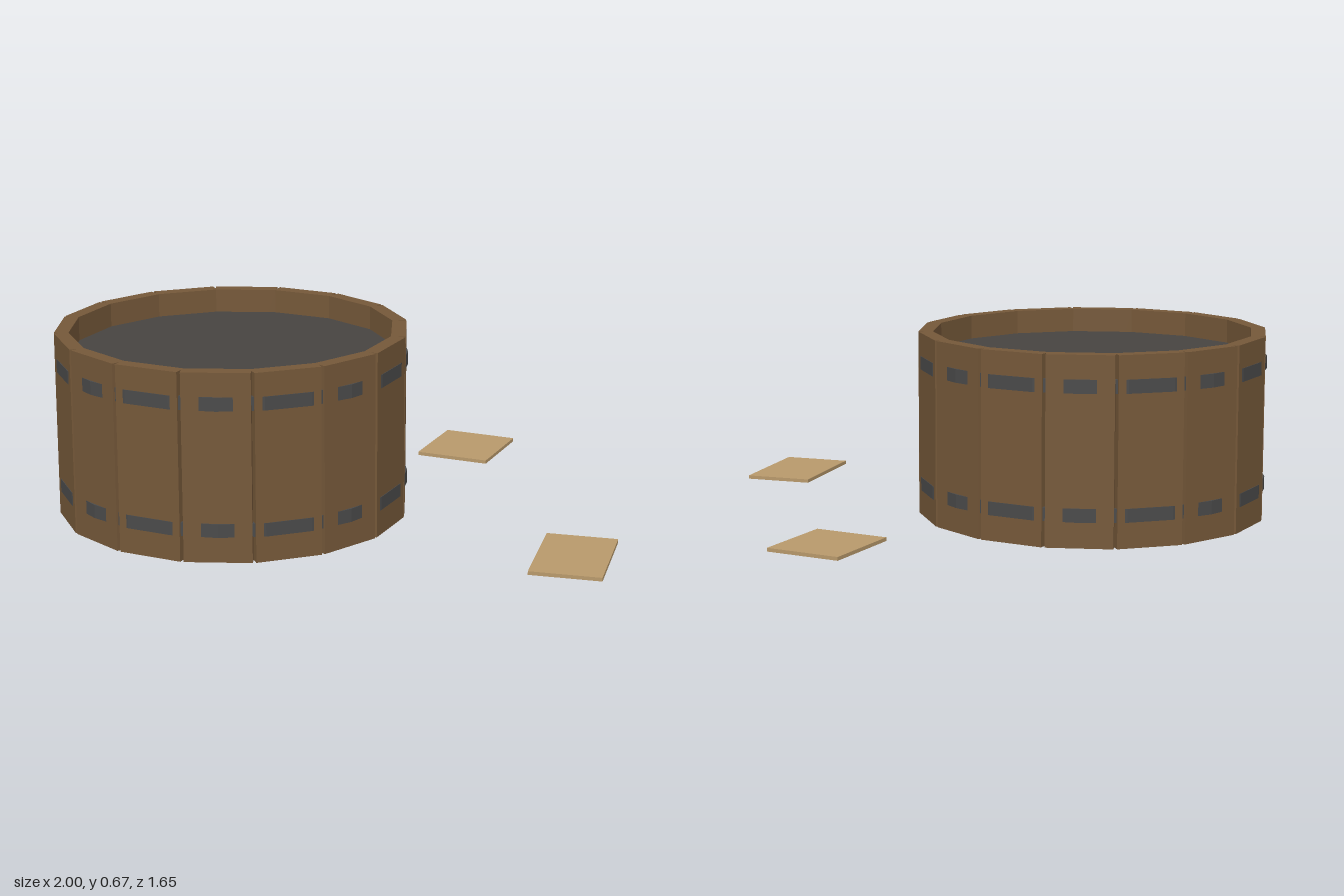
import * as THREE from 'three';

const mat = (color) => new THREE.MeshStandardMaterial({ color, flatShading: true });
const wood = mat(0x755839);
const darkWood = mat(0x4a3524);
const metal = mat(0x4a4a4a);
const dark = mat(0x474441);
const paleWood = mat(0xb8996b);

function add(parent, name, geometry, material, x = 0, y = 0, z = 0, ry = 0) {
  const mesh = new THREE.Mesh(geometry, material);
  mesh.name = name;
  mesh.position.set(x, y, z);
  mesh.rotation.y = ry;
  parent.add(mesh);
  return mesh;
}

// Round tub made of flat staves, held by two hoops
function createTub() {
  const tub = new THREE.Group();
  tub.name = 'tub';
  const staves = 16, radius = 0.622, depth = 0.052, height = 0.667;

  const staveGeometry = new THREE.BoxGeometry(0.235, height, depth);
  for (let i = 0; i < staves; i++) {
    const a = (i / staves) * Math.PI * 2;
    const r = radius - depth / 2;
    add(tub, 'stave', staveGeometry, wood, Math.sin(a) * r, height / 2, Math.cos(a) * r, a);
  }

  // Hoops have 24 sides, so they sink into the stave corners
  const h = 0.024, outer = 0.6295, inner = 0.605;
  const section = [[inner, -h], [outer, -h], [outer, h], [inner, h], [inner, -h]]
    .map(([x, y]) => new THREE.Vector2(x, y));
  const hoopGeometry = new THREE.LatheGeometry(section, 24);
  for (const y of [0.115, 0.559]) add(tub, 'hoop', hoopGeometry, metal, 0, y, 0);

  // Floor and the surface of the contents
  const disc = new THREE.CylinderGeometry(0.585, 0.585, 0.02, 32);
  add(tub, 'floor', disc, darkWood, 0, 0.032, 0);
  add(tub, 'contents', disc, dark, 0, 0.57, 0);
  return tub;
}

export function createModel() {
  const model = new THREE.Group();
  model.name = 'tubWithPlanks';

  const tub = createTub();
  tub.position.set(-0.369, 0, 0.07);
  model.add(tub);

  // Loose planks on the ground, two of them under the tub: x, z, width, length, turn
  const planks = [
    [0.486, -0.63, 0.28, 0.32, -0.37],
    [0.836, 0.608, 0.25, 0.39, -0.21],
    [-0.131, -0.2, 0.19, 0.37, 0.55],
    [-0.297, 0.073, 0.18, 0.215, -0.87],
  ];
  for (const [x, z, w, l, turn] of planks) {
    add(model, 'plank', new THREE.BoxGeometry(w, 0.013, l), paleWood, x, 0.0105, z, turn);
  }
  return model;
}
